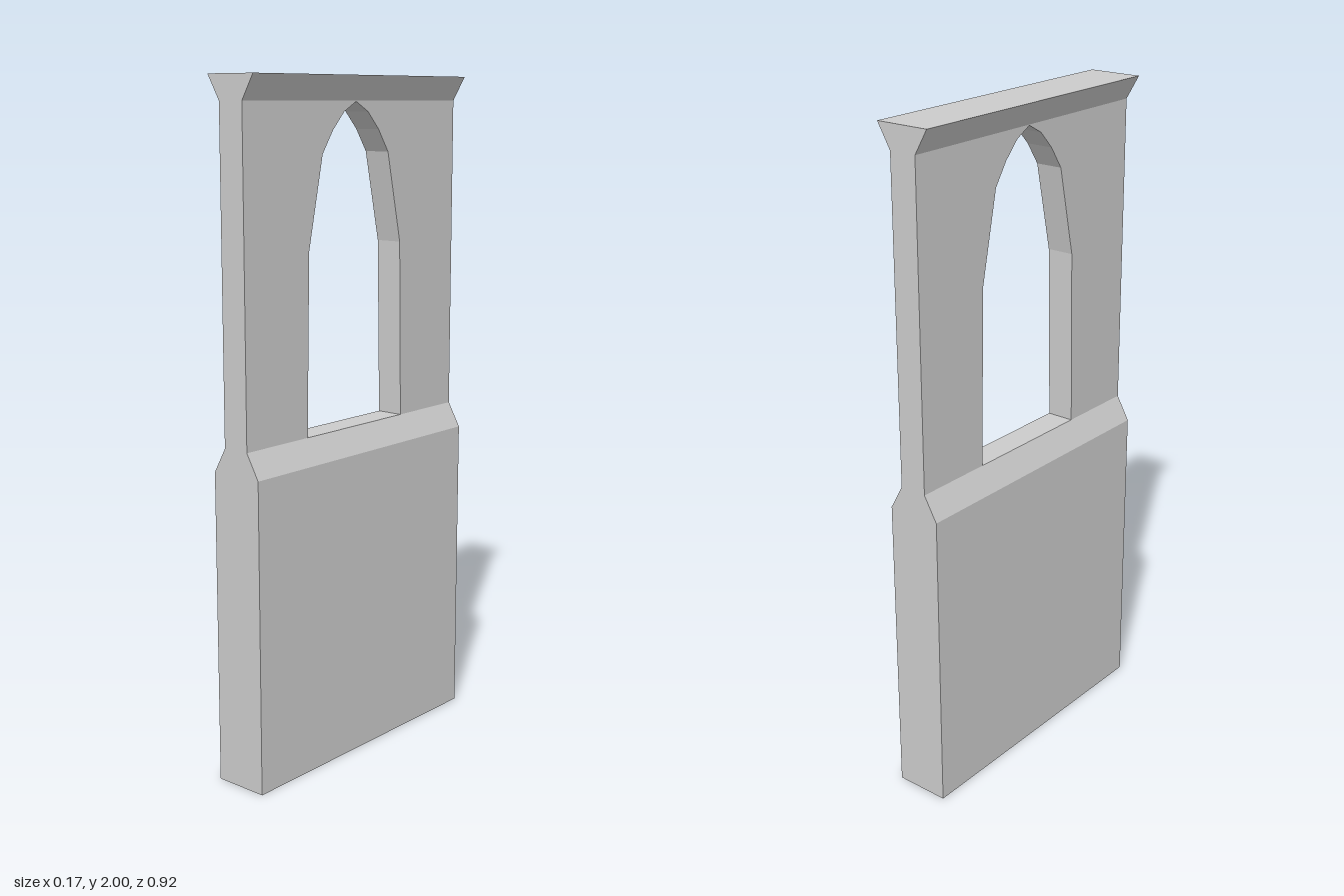
import * as THREE from 'three';

const DEPTH = 0.92;   // length of the wall along z
const WIDE = 0.083;   // half thickness of base and cornice
const THIN = 0.042;   // half thickness of the pierced panel
const SILL = 0.993, SPRING = 1.93;

export function createModel() {
  const group = new THREE.Group();
  const material = new THREE.MeshStandardMaterial({ color: 0xcccccc, flatShading: true });

  // Extrudes an outline symmetrically about its own plane
  const extrude = (name, points, depth) => {
    const shape = new THREE.Shape(points.map(([x, y]) => new THREE.Vector2(x, y)));
    const geometry = new THREE.ExtrudeGeometry(shape, { depth, bevelEnabled: false });
    geometry.translate(0, 0, -depth / 2);
    const mesh = new THREE.Mesh(geometry, material);
    mesh.name = name;
    group.add(mesh);
    return mesh;
  };
  // Completes a right-hand outline with its mirror image
  const mirrored = (half) => [...half, ...half.map(([x, y]) => [-x, y]).reverse()];

  // Solid lower wall with sloping shoulders up to the sill
  extrude('base', mirrored([[WIDE, 0], [WIDE, 0.92], [THIN, SILL]]), DEPTH);

  // Flared top rail
  extrude('cornice', mirrored([[THIN, SPRING], [WIDE, 2]]), DEPTH);

  // Thin panel with a pointed-round opening rising from the sill
  const arch = [[0.212, SILL], [0.202, 1.52], [0.144, 1.785], [0.1, 1.85], [0.052, 1.9]];
  const opening = [...arch, [0, 1.928], ...arch.map(([x, y]) => [-x, y]).reverse()];
  const panel = extrude('archedPanel', [
    [DEPTH / 2, SILL], [DEPTH / 2, SPRING], [-DEPTH / 2, SPRING], [-DEPTH / 2, SILL],
    ...opening.reverse(),
  ], THIN * 2);
  panel.rotation.y = -Math.PI / 2;

  return group;
}
